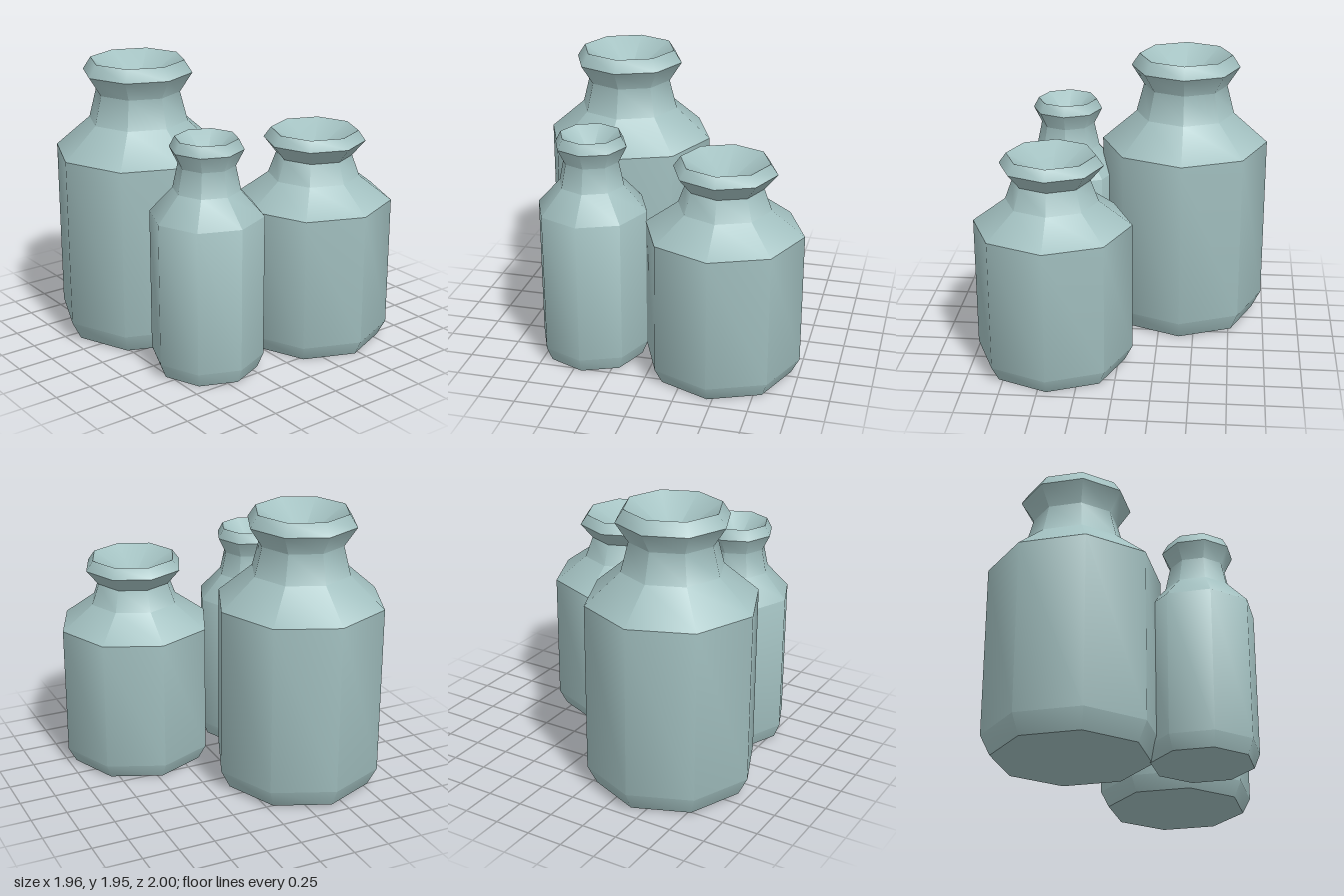
import * as THREE from 'three';
import { toCreasedNormals } from 'three/addons/utils/BufferGeometryUtils.js';

const SIDES = 8;
const CREASE = 0.8; // just over 45 degrees: soft around the sides, sharp at shoulder and lip

const material = new THREE.MeshStandardMaterial({ color: 0xa3c1c1 });

// One octagonal jug: rings run from the base up to the rim, each as [radius, height]
function makeJug(name, x, z, rings) {
  const baseY = rings[0][1];
  const neckY = rings[4][1];
  const profile = [
    [0, baseY], // flat underside
    ...rings,
    [0, neckY], // mouth hollowed down to the neck
  ].map(([r, y]) => new THREE.Vector2(r, y));

  const geometry = toCreasedNormals(new THREE.LatheGeometry(profile, SIDES), CREASE);
  const jug = new THREE.Mesh(geometry, material);
  jug.name = name;
  jug.position.set(x, 0, z);
  return jug;
}

export function createModel() {
  const group = new THREE.Group();
  group.name = 'jugs';

  // Rings: base, chamfer, shoulder, neck bottom, neck top, lip, rim
  group.add(
    makeJug('tallJug', -0.4, 0.41, [
      [0.52, 0.01], [0.585, 0.14], [0.585, 1.32], [0.345, 1.53],
      [0.293, 1.73], [0.38, 1.865], [0.325, 1.95],
    ]),
    makeJug('wideJug', 0.44, -0.465, [
      [0.48, 0], [0.535, 0.105], [0.535, 1.015], [0.313, 1.18],
      [0.26, 1.325], [0.347, 1.43], [0.297, 1.5],
    ]),
    makeJug('smallJug', 0.44, 0.44, [
      [0.34, 0.005], [0.38, 0.105], [0.38, 1.085], [0.225, 1.255],
      [0.19, 1.42], [0.245, 1.53], [0.208, 1.6],
    ])
  );
  return group;
}
